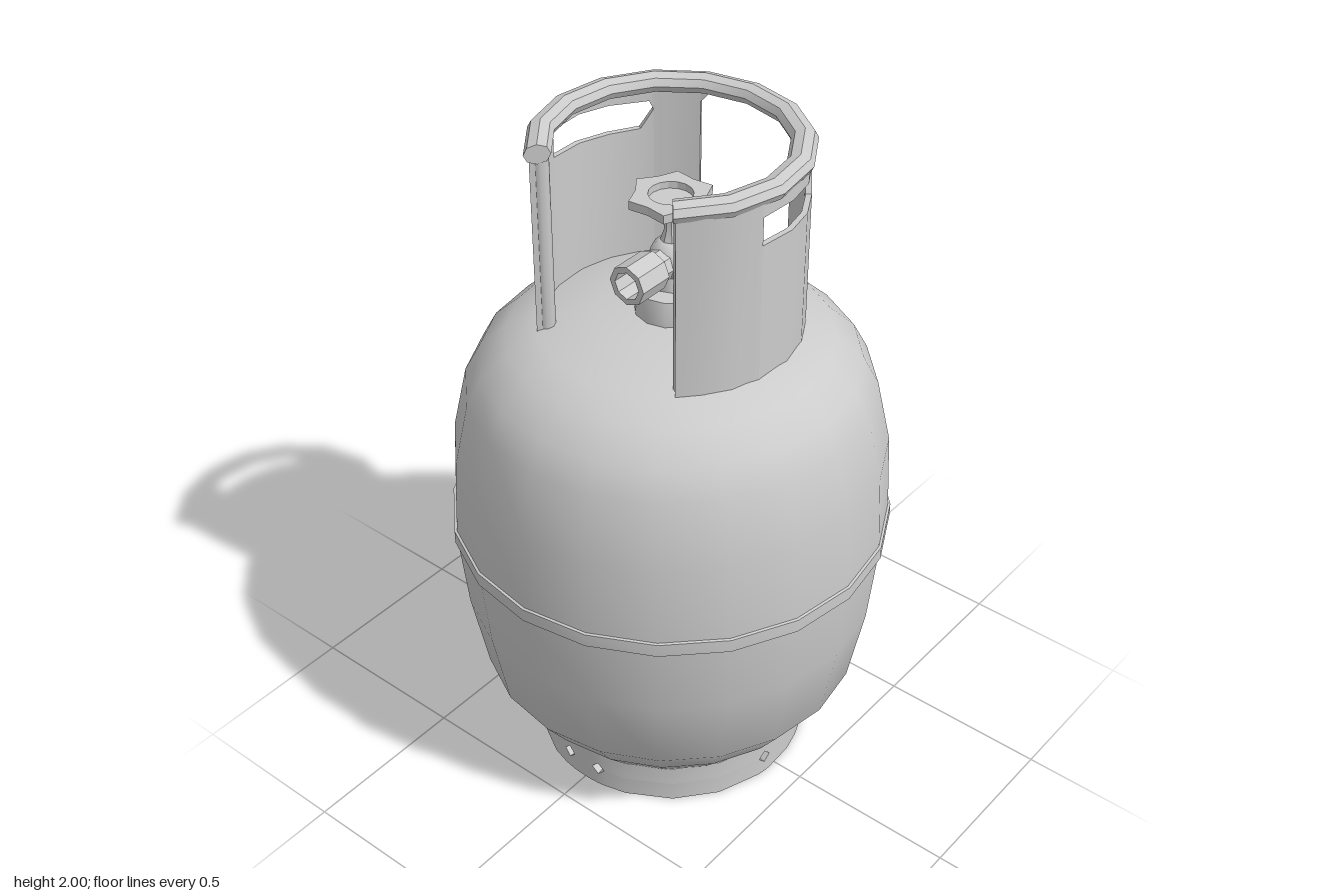
import * as THREE from 'three';
import { toCreasedNormals } from 'three/addons/utils/BufferGeometryUtils.js';

const material = new THREE.MeshStandardMaterial({ color: 0xcccccc, side: THREE.DoubleSide });

function add(parent, name, geometry, x = 0, y = 0, z = 0) {
  const mesh = new THREE.Mesh(geometry, material);
  mesh.name = name;
  mesh.position.set(x, y, z);
  parent.add(mesh);
  return mesh;
}

function lathe(points, segments) {
  const geo = new THREE.LatheGeometry(points.map(([r, y]) => new THREE.Vector2(r, y)), segments);
  return toCreasedNormals(geo, 0.7);
}

// Sweeps cross-sections [degrees, [[radius, y], ...]] around the y axis (0 degrees = front)
function sweep(sections) {
  const n = sections[0][1].length;
  const pos = [], index = [];
  sections.forEach(([deg, pts], i) => {
    const a = THREE.MathUtils.degToRad(deg);
    pts.forEach(([r, y]) => pos.push(r * Math.sin(a), y, r * Math.cos(a)));
    if (i === sections.length - 1) return;
    for (let j = 0; j < n; j++) {
      const k = (j + 1) % n, p = i * n, q = p + n;
      index.push(p + j, q + j, q + k, p + j, q + k, p + k);
    }
  });
  // End caps, not needed on a full turn
  if (sections[sections.length - 1][0] - sections[0][0] < 359) {
    const e = (sections.length - 1) * n;
    for (let j = 1; j < n - 1; j++) index.push(0, j, j + 1, e, e + j + 1, e + j);
  }
  const geo = new THREE.BufferGeometry();
  geo.setAttribute('position', new THREE.Float32BufferAttribute(pos, 3));
  geo.setIndex(index);
  return toCreasedNormals(geo, 0.6);
}

// Curved plate from [degrees, low y, high y] rows
function plate(rIn, rOut, rows) {
  return sweep(rows.map(([a, lo, hi]) => [a, [[rIn, lo], [rOut, lo], [rOut, hi], [rIn, hi]]]));
}

function buildFoot() {
  const foot = new THREE.Group();
  foot.name = 'footRing';
  // Diamond drain holes are notches shared by the lower and upper band
  const holes = [7, 83, 112, 173, 189, 248, 277, 351];
  const depth = new Map();
  for (let a = 0; a <= 360; a += 20) {
    if (holes.every((h) => Math.abs(h - a) > 4)) depth.set(a, 0);
  }
  holes.forEach((h) => depth.set(h - 3, 0).set(h, 0.022).set(h + 3, 0));
  const stops = [...depth].sort((p, q) => p[0] - q[0]);
  add(foot, 'footLowerBand', plate(0.375, 0.405, stops.map(([a, d]) => [a, 0, 0.062 - d])));
  add(foot, 'footUpperBand', plate(0.375, 0.405, stops.map(([a, d]) => [a, 0.062 + d, 0.125])));
  return foot;
}

function buildCollar() {
  const collar = new THREE.Group();
  collar.name = 'collar';
  const low = 1.41, top = 1.96;
  // Side panel pieces around the hand slot
  const pieces = {
    PanelFront: [[41, low, top], [53, low, top], [65, low, top], [78, low, top]],
    PanelBelowSlot: [[78, low, 1.84], [96, low, 1.835], [112, low, 1.83], [127, low, 1.83], [133, low, 1.885]],
    PanelAboveSlot: [[78, 1.92, top], [96, 1.92, top], [112, 1.915, top], [131, 1.91, top], [133, 1.885, top]],
    PanelRear: [[133, low, top], [143, low, top], [154, low, top]],
    PanelRearGusset: [[154, 1.91, top], [159, 1.945, top]],
  };
  for (const s of [1, -1]) {
    const side = s > 0 ? 'left' : 'right';
    for (const [name, rows] of Object.entries(pieces)) {
      const r = s > 0 ? rows : rows.map(([a, lo, hi]) => [-a, lo, hi]).reverse();
      add(collar, side + name, plate(0.346, 0.362, r));
    }
    // Curled front edge
    add(collar, side + 'FrontBead', new THREE.CylinderGeometry(0.024, 0.024, 0.54, 8), s * 0.233, 1.69, 0.238);
  }
  // Rolled top rim, open at the front
  const ring = [];
  for (let i = 0; i < 8; i++) {
    const t = (i / 8) * Math.PI * 2;
    ring.push([0.341 + 0.036 * Math.cos(t), 1.972 + 0.028 * Math.sin(t)]);
  }
  const rim = [];
  for (let i = 0; i <= 12; i++) rim.push([40 + (i * 280) / 12, ring]);
  add(collar, 'rim', sweep(rim));
  return collar;
}

function buildValve() {
  const valve = new THREE.Group();
  valve.name = 'valve';
  add(valve, 'valveBoss', lathe([[0.1, 1.44], [0.1, 1.49], [0.092, 1.545], [0, 1.55]], 12));
  add(valve, 'valveNeck', new THREE.CylinderGeometry(0.042, 0.046, 0.05, 8), 0, 1.565);
  add(valve, 'valveBody', new THREE.SphereGeometry(0.062, 8, 6), 0, 1.635);
  // Hollow gas outlet facing forward
  const outlet = add(valve, 'outlet', lathe(
    [[0.045, 0], [0.045, 0.07], [0.057, 0.075], [0.057, 0.18], [0.04, 0.18], [0.04, 0.1], [0, 0.1]], 8), 0, 1.63, 0);
  outlet.rotation.x = Math.PI / 2;
  const relief = add(valve, 'reliefPort', new THREE.CylinderGeometry(0.03, 0.034, 0.08, 8), 0, 1.635, -0.07);
  relief.rotation.x = Math.PI / 2;
  add(valve, 'stem', lathe([[0.035, 1.67], [0.018, 1.72], [0.02, 1.76], [0.05, 1.775], [0.068, 1.805], [0, 1.805]], 8));
  // Six-lobed handwheel
  const shape = new THREE.Shape();
  for (let i = 0; i < 12; i++) {
    const a = (i * Math.PI) / 6, r = i % 2 ? 0.093 : 0.116;
    shape[i ? 'lineTo' : 'moveTo'](r * Math.cos(a), r * Math.sin(a));
  }
  shape.closePath();
  shape.holes.push(new THREE.Path().absarc(0, 0, 0.06, 0, Math.PI * 2, true));
  const wheel = add(valve, 'handwheel',
    new THREE.ExtrudeGeometry(shape, { depth: 0.025, bevelEnabled: false, curveSegments: 8 }), 0, 1.8);
  wheel.rotation.x = -Math.PI / 2;
  return valve;
}

export function createModel() {
  const model = new THREE.Group();
  model.name = 'gasCylinder';
  // Bulging tank
  const tank = [[0, 0.07], [0.2, 0.08], [0.38, 0.115], [0.405, 0.125], [0.48, 0.21], [0.555, 0.315], [0.6, 0.56],
    [0.622, 0.79], [0.622, 0.83], [0.61, 1.06], [0.568, 1.25], [0.525, 1.33], [0.45, 1.4], [0.36, 1.44],
    [0.2, 1.468], [0, 1.48]];
  add(model, 'tank', lathe(tank, 20));
  // Raised weld seam
  add(model, 'weldSeam', lathe([[0.615, 0.782], [0.629, 0.786], [0.629, 0.826], [0.615, 0.83]], 20));
  model.add(buildFoot(), buildCollar(), buildValve());
  return model;
}
